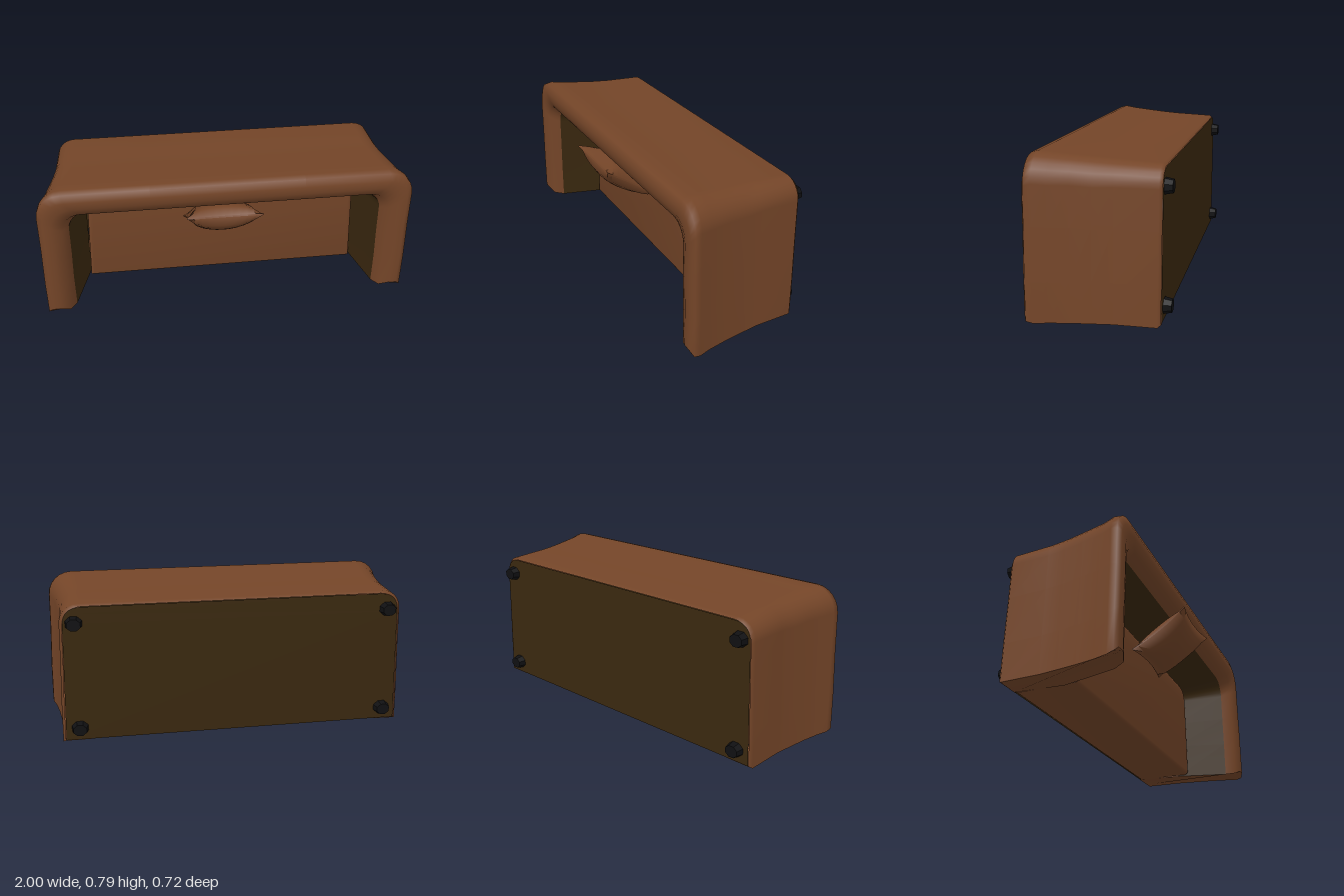
import * as THREE from 'three';
import { mergeVertices, toCreasedNormals } from 'three/addons/utils/BufferGeometryUtils.js';

const mat = (name, color, side = THREE.FrontSide) => {
  const m = new THREE.MeshStandardMaterial({ color, side });
  m.name = name;
  return m;
};

// Half-outline of an arch: up the +x side, round the corner, over to -x
function archPoints(w, h, y0, r, steps = 6) {
  const wt = w * 0.98;
  const half = [[w, y0], [w - 0.004, y0 + 0.2], [wt + 0.005, (h - r) * 0.7]];
  for (let i = 0; i <= steps; i++) {
    const a = (i / steps) * Math.PI / 2;
    half.push([wt - r + r * Math.cos(a), h - r + r * Math.sin(a)]);
  }
  half.push([0.4, h]);
  return [...half, ...half.map(([x, y]) => [-x, y]).reverse()];
}

// Skin a list of arches [halfWidth, height, z, bottomY, cornerRadius]
function loftArches(rings) {
  const pos = [], idx = [];
  let n = 0;
  for (const [w, h, z, y0, r] of rings) {
    const pts = archPoints(w, h, y0, r);
    n = pts.length;
    pts.forEach(([x, y]) => pos.push(x, y, z));
  }
  for (let i = 0; i < rings.length - 1; i++) {
    for (let j = 0; j < n - 1; j++) {
      const a = i * n + j, b = a + n;
      idx.push(a, a + 1, b, a + 1, b + 1, b);
    }
  }
  const g = new THREE.BufferGeometry();
  g.setAttribute('position', new THREE.Float32BufferAttribute(pos, 3));
  g.setIndex(idx);
  g.computeVertexNormals();
  return g;
}

// Close the lower end of one arm
function armEnd(rings, side) {
  const contour = rings.map(([w, , z]) => new THREE.Vector2(w * side, z));
  const g = new THREE.BufferGeometry();
  g.setAttribute('position', new THREE.Float32BufferAttribute(
    rings.flatMap(([w, , z, y0]) => [w * side, y0, z]), 3));
  g.setIndex(THREE.ShapeUtils.triangulateShape(contour, []).flat());
  g.computeVertexNormals();
  return g;
}

// Upright panel outline with rounded top corners
function panelShape(wb, wt, y0, h, r) {
  const s = new THREE.Shape();
  s.moveTo(-wb, y0);
  s.lineTo(wb, y0);
  s.lineTo(wt, h - r);
  s.quadraticCurveTo(wt, h, wt - r, h);
  s.lineTo(-wt + r, h);
  s.quadraticCurveTo(-wt, h, -wt, h - r);
  s.closePath();
  return s;
}

// Square cushion, pinched at the edges and with concave sides
function pillowGeometry(w, h, t) {
  let g = new THREE.BoxGeometry(2, 2, 2, 10, 10, 1);
  const p = g.attributes.position;
  for (let i = 0; i < p.count; i++) {
    const u = p.getX(i), v = p.getY(i), s = Math.sign(p.getZ(i));
    const puff = Math.sqrt(Math.max(0, (1 - u * u) * (1 - v * v)));
    p.setXYZ(i, u * w * (1 - 0.1 * (1 - v * v)), v * h * (1 - 0.1 * (1 - u * u)), s * (t * puff + 0.004));
  }
  g.deleteAttribute('normal');
  g.deleteAttribute('uv');
  g = mergeVertices(g);
  return toCreasedNormals(g, 1.0);
}

export function createModel() {
  const brown = mat('brown leather', 0x744528, THREE.DoubleSide);
  const olive = mat('dark lining', 0x3a280f, THREE.DoubleSide);
  const black = mat('black feet', 0x101012);

  const model = new THREE.Group();
  model.name = 'sofa';
  const add = (name, geometry, material, x = 0, y = 0, z = 0) => {
    const m = new THREE.Mesh(geometry, material);
    m.name = name;
    m.position.set(x, y, z);
    model.add(m);
    return m;
  };

  // Arms and backrest: one flared arch with a rounded rim
  const shell = [
    [0.905, 0.735, -0.32, 0.01, 0.1], [0.92, 0.747, -0.305, 0, 0.1],
    [0.926, 0.757, -0.1, 0, 0.11], [0.94, 0.764, 0, 0, 0.12],
    [0.955, 0.772, 0.1, 0, 0.12], [0.975, 0.782, 0.2, 0, 0.13],
    [0.995, 0.789, 0.265, 0, 0.13], [1.0, 0.78, 0.3, 0.01, 0.13],
    [0.975, 0.74, 0.314, 0.035, 0.12], [0.93, 0.7, 0.314, 0.035, 0.11],
    [0.88, 0.655, 0.295, 0.01, 0.1], [0.85, 0.627, 0.24, 0, 0.1],
  ];
  const lining = [shell[shell.length - 1], [0.775, 0.575, -0.05, 0, 0.07]];
  add('armsAndBackrest', loftArches(shell), brown);
  add('innerLining', loftArches(lining), olive);
  for (const side of [1, -1]) {
    add(side > 0 ? 'leftArmEnd' : 'rightArmEnd',
      armEnd([...shell, lining[1], [0.775, 0.575, -0.32, 0.01, 0.07]], side), brown);
  }

  // Seat block with softened edges
  const seat = new THREE.ExtrudeGeometry(panelShape(0.75, 0.725, 0.03, 0.55, 0.08), {
    depth: 0.29, bevelEnabled: true, bevelSize: 0.025, bevelThickness: 0.025, bevelSegments: 4, curveSegments: 6,
  });
  add('seat', toCreasedNormals(seat, 0.7), brown, 0, 0, -0.295);

  // Base panel with four feet
  add('basePanel', new THREE.ShapeGeometry(panelShape(0.903, 0.885, 0.012, 0.733, 0.1)), olive, 0, 0, -0.321);
  const footGeo = new THREE.CylinderGeometry(0.046, 0.037, 0.04, 8);
  footGeo.rotateY(Math.PI / 8);
  footGeo.rotateX(Math.PI / 2);
  footGeo.scale(1, 0.87, 1);
  for (const x of [-0.828, 0.828]) {
    for (const y of [0.079, 0.649]) add('foot', toCreasedNormals(footGeo, 0.5), black, x, y, -0.34);
  }

  // Cushion leaning on the backrest
  const pillow = add('pillow', pillowGeometry(0.198, 0.182, 0.075), brown, -0.024, 0.523, 0.205);
  pillow.rotation.x = 0.99;

  return model;
}
